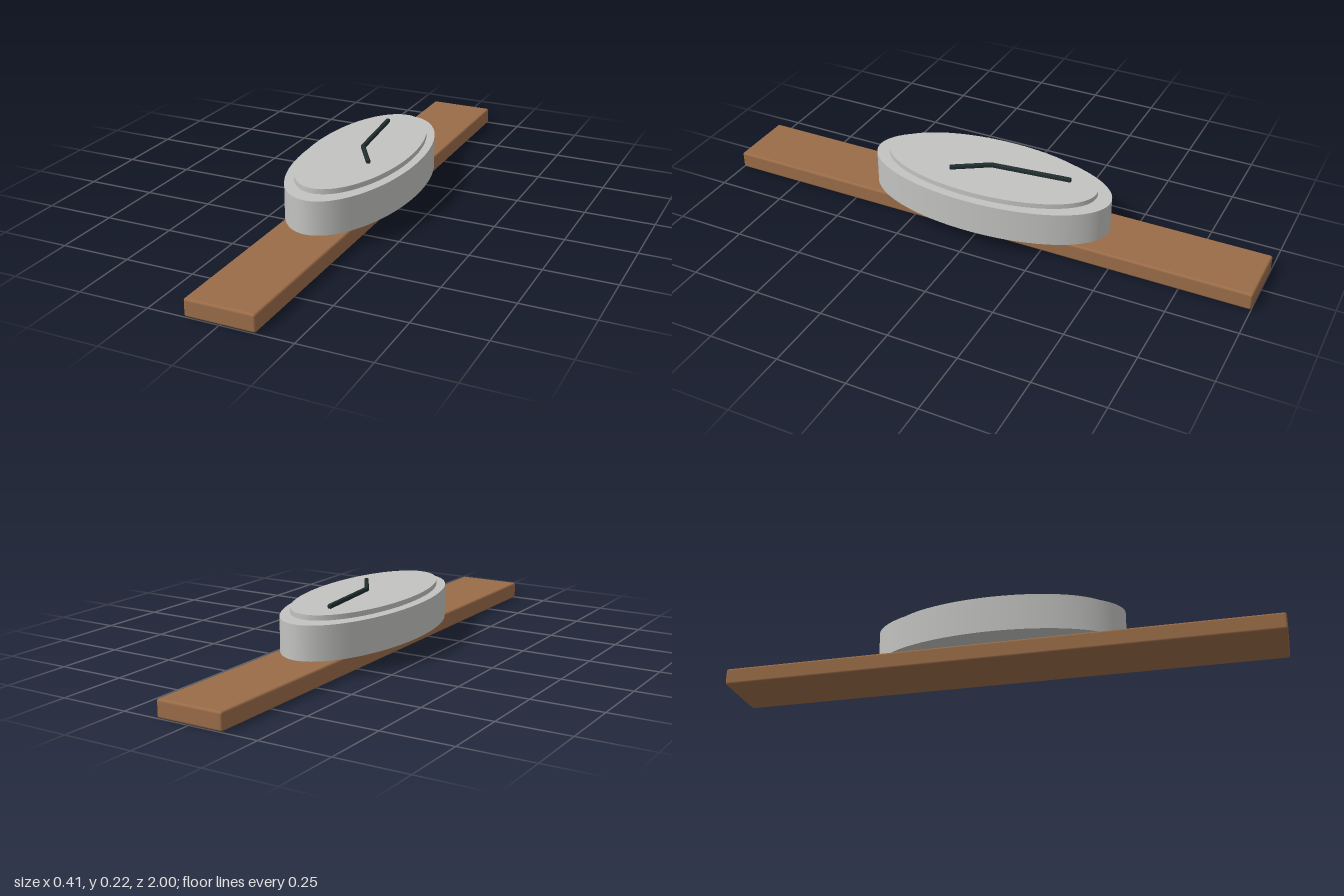
import * as THREE from 'three';
import { RoundedBoxGeometry } from 'three/addons/geometries/RoundedBoxGeometry.js';

const material = (name, color) => {
  const m = new THREE.MeshStandardMaterial({ color });
  m.name = name;
  return m;
};

export function createModel() {
  const leather = material('brown leather', 0x9a6c48);
  const silver = material('silver', 0xc2c2c0);
  const dark = material('dark slate', 0x1f2e2e);

  const watch = new THREE.Group();
  watch.name = 'wristwatch';

  const add = (name, geometry, mat) => {
    const mesh = new THREE.Mesh(geometry, mat);
    mesh.name = name;
    watch.add(mesh);
    return mesh;
  };

  // Upright elliptical disc between two heights
  const ovalDisc = (name, rx, rz, y0, y1) => {
    const geometry = new THREE.CylinderGeometry(1, 1, y1 - y0, 96);
    geometry.scale(rx, 1, rz);
    add(name, geometry, silver).position.y = (y0 + y1) / 2;
  };

  // Slim bar running from the dial centre to a tip
  const hand = (name, tipX, tipZ) => {
    const length = Math.hypot(tipX, tipZ);
    const geometry = new RoundedBoxGeometry(0.015, 0.016, length + 0.01, 3, 0.005);
    geometry.translate(0, 0, length / 2);
    const mesh = add(name, geometry, dark);
    mesh.position.y = 0.215;
    mesh.rotation.y = Math.atan2(tipX, tipZ);
  };

  // Flat strap with softened edges
  add('strap', new RoundedBoxGeometry(0.244, 0.062, 2, 4, 0.008), leather).position.y = 0.031;

  // Oval case and the dial floating just above it
  ovalDisc('case', 0.205, 0.452, 0.062, 0.184);
  ovalDisc('dial', 0.18, 0.4, 0.189, 0.207);

  hand('minuteHand', -0.031, -0.288);
  hand('hourHand', 0.076, 0.122);

  return watch;
}
